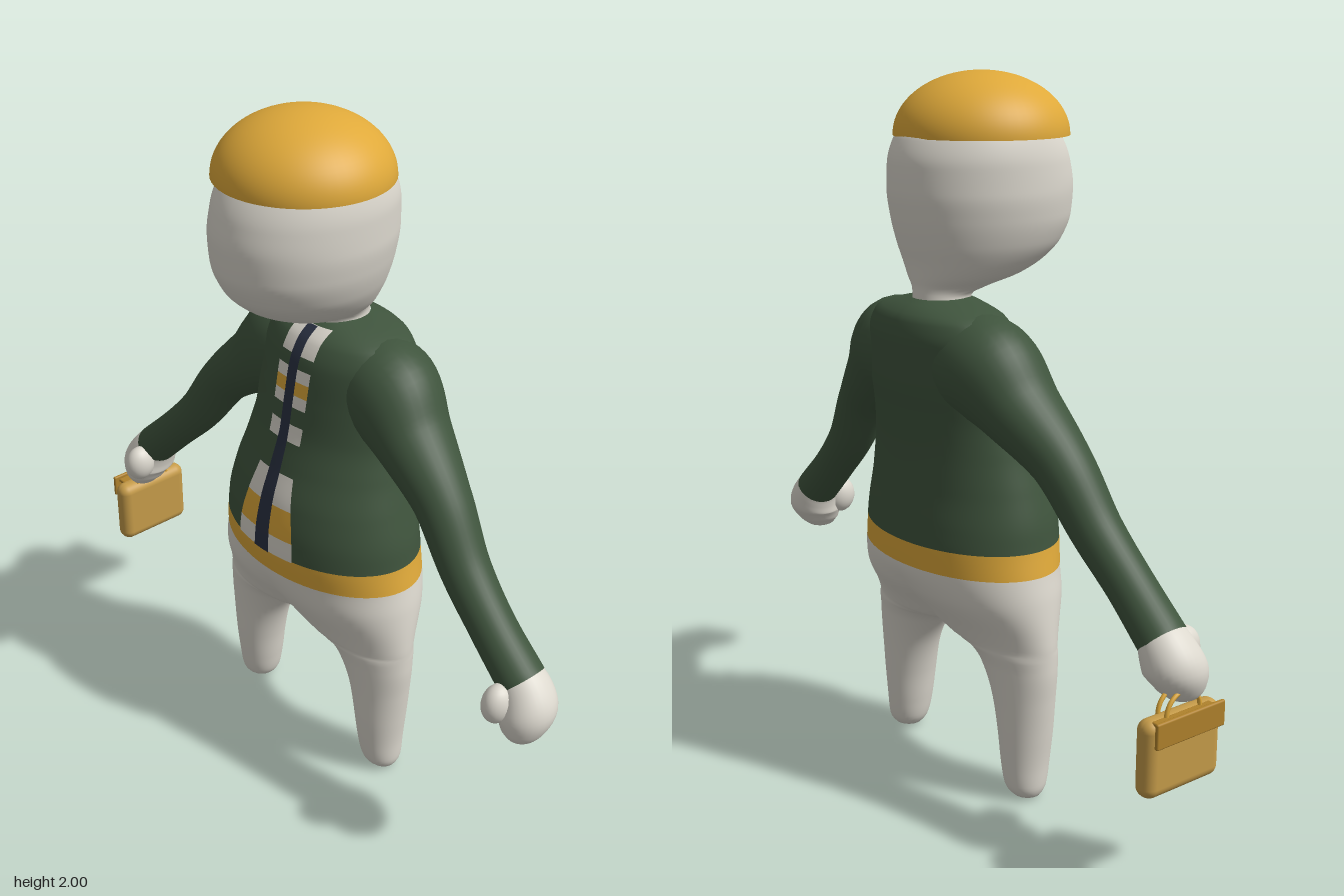
import * as THREE from 'three';
import { mergeGeometries, mergeVertices } from 'three/addons/utils/BufferGeometryUtils.js';
import { RoundedBoxGeometry } from 'three/addons/geometries/RoundedBoxGeometry.js';

const material = (name, color) => {
  const m = new THREE.MeshStandardMaterial({ color });
  m.name = name;
  return m;
};

// Sections by height: [y, outer half width, front z, back z, inner x of the leg]
const BODY = [
  [0, 0.295, -0.036, -0.04, 0.29],
  [0.008, 0.332, -0.005, -0.08, 0.25],
  [0.04, 0.345, 0.018, -0.102, 0.227],
  [0.1, 0.348, 0.03, -0.11, 0.215],
  [0.2, 0.358, 0.04, -0.117, 0.2],
  [0.3, 0.368, 0.045, -0.123, 0.175],
  [0.4, 0.376, 0.055, -0.133, 0.115],
  [0.44, 0.376, 0.065, -0.145, 0.055],
  [0.45, 0.376, 0.07, -0.15, 0],
  [0.46, 0.376, 0.075, -0.155, -0.05],
  [0.5, 0.374, 0.095, -0.18, -0.13],
  [0.6, 0.364, 0.148, -0.25, -0.25],
  [0.675, 0.35, 0.17, -0.277, -0.35],
  [0.745, 0.337, 0.177, -0.28, -0.337],
  [0.8, 0.33, 0.174, -0.276, -0.33],
  [0.9, 0.305, 0.155, -0.266, -0.305],
  [1.0, 0.278, 0.12, -0.264, -0.278],
  [1.1, 0.262, 0.088, -0.27, -0.262],
  [1.2, 0.262, 0.07, -0.28, -0.262],
  [1.3, 0.26, 0.05, -0.28, -0.26],
  [1.36, 0.23, 0.02, -0.266, -0.23],
  [1.39, 0.15, -0.015, -0.235, -0.15],
  [1.405, 0.075, -0.04, -0.2, -0.075],
];
const HEAD = [
  [1.36, 0.08, -0.03, -0.2],
  [1.41, 0.072, -0.03, -0.2],
  [1.43, 0.085, 0.03, -0.2],
  [1.46, 0.13, 0.13, -0.205],
  [1.5, 0.168, 0.205, -0.213],
  [1.55, 0.198, 0.255, -0.227],
  [1.62, 0.22, 0.282, -0.242],
  [1.69, 0.229, 0.285, -0.25],
  [1.76, 0.228, 0.272, -0.247],
  [1.83, 0.216, 0.238, -0.222],
  [1.88, 0.18, 0.18, -0.16],
  [1.93, 0.02, 0.03, 0.0],
].map((r) => [...r, -r[1]]);

// Monotone smooth interpolation of one table row at height y
function sectionAt(table, y) {
  let i = 0;
  while (i < table.length - 2 && y > table[i + 1][0]) i++;
  const h = table[i + 1][0] - table[i][0];
  const t = (y - table[i][0]) / h;
  const slope = (j, k) => (j < 0 || j > table.length - 2 ? 0 : (table[j + 1][k] - table[j][k]) / (table[j + 1][0] - table[j][0]));
  const tangent = (j, k) => {
    if (j === 0) return slope(0, k);
    if (j === table.length - 1) return slope(j - 1, k);
    const a = slope(j - 1, k), b = slope(j, k);
    return a * b > 0 ? (2 * a * b) / (a + b) : 0;
  };
  const at = (k) => {
    const p = table[i][k], q = table[i + 1][k];
    return p + (q - p) * t * t * (3 - 2 * t) + h * t * (1 - t) * ((1 - t) * tangent(i, k) - t * tangent(i + 1, k));
  };
  const [w, f, b, inner] = [1, 2, 3, 4].map(at);
  return { cx: (w + inner) / 2, rx: (w - inner) / 2, cz: (f + b) / 2, rz: (f - b) / 2 };
}

// Surface grid from point(u, v) with u and v in 0..1
function grid(nu, nv, point, flip) {
  const pos = [], idx = [];
  for (let j = 0; j <= nv; j++) for (let i = 0; i <= nu; i++) pos.push(...point(i / nu, j / nv));
  for (let j = 0; j < nv; j++) {
    for (let i = 0; i < nu; i++) {
      const a = j * (nu + 1) + i, b = a + 1, c = a + nu + 1, d = c + 1;
      idx.push(...(flip ? [a, b, c, b, d, c] : [a, c, b, b, c, d]));
    }
  }
  const g = new THREE.BufferGeometry();
  g.setAttribute('position', new THREE.Float32BufferAttribute(pos, 3));
  g.setIndex(idx);
  return g;
}

function smooth(g) {
  const m = mergeVertices(g, 1e-4);
  m.computeVertexNormals();
  return m;
}

// Two mirrored halves, cut at x = 0, so the hips part smoothly into two legs
function slice(table, y0, y1, rows) {
  const half = (s) => grid(36, rows, (u, v) => {
    const y = y0 + (y1 - y0) * v;
    const { cx, rx, cz, rz } = sectionAt(table, y);
    const reach = Math.acos(THREE.MathUtils.clamp(-cx / Math.max(rx, 1e-6), -1, 1));
    const a = (2 * u - 1) * reach;
    return [s * Math.max(0, cx + rx * Math.cos(a)), y, cz + rz * Math.sin(a)];
  }, s < 0);
  return smooth(mergeGeometries([half(1), half(-1)]));
}

// Limb through rings [x, y, z, radius, depth radius]
function limb(rings, s, steps) {
  const path = new THREE.CatmullRomCurve3(rings.map((r) => new THREE.Vector3(r[0], r[1], r[2])));
  const size = new THREE.CatmullRomCurve3(rings.map((r) => new THREE.Vector3(r[3], r[4], 0)));
  return smooth(grid(32, steps, (u, v) => {
    const c = path.getPoint(v), t = path.getTangent(v), r = size.getPoint(v);
    const l = Math.hypot(t.x, t.y), a = u * Math.PI * 2;
    const k = r.x * Math.cos(a);
    return [s * (c.x - (t.y / l) * k), c.y + (t.x / l) * k, c.z + r.y * Math.sin(a)];
  }, s > 0));
}

// Thin panel lying on the chest between two edges given as x at height y
function chestPanel(y0, y1, left, right, lift) {
  const rows = Math.ceil((y1 - y0) / 0.008);
  return smooth(grid(10, rows, (u, v) => {
    const y = y0 + (y1 - y0) * v;
    const { rx, cz, rz } = sectionAt(BODY, y);
    const x = left(y) + (right(y) - left(y)) * u;
    return [x, y, cz + rz * Math.sqrt(Math.max(0, 1 - (x / rx) ** 2)) + lift];
  }, true));
}

const SLEEVE = [
  [0.08, 1.25, -0.12, 0.12, 0.13],
  [0.2, 1.23, -0.115, 0.147, 0.138],
  [0.32, 1.14, -0.095, 0.104, 0.115],
  [0.455, 1.025, -0.07, 0.077, 0.085],
  [0.57, 0.872, -0.05, 0.067, 0.072],
  [0.69, 0.752, -0.038, 0.062, 0.067],
  [0.805, 0.645, -0.035, 0.064, 0.07],
];
const HAND = [
  [0.77, 0.68, -0.035, 0.05, 0.055],
  [0.815, 0.63, -0.034, 0.068, 0.076],
  [0.84, 0.58, -0.025, 0.078, 0.085],
  [0.846, 0.53, -0.01, 0.06, 0.066],
  [0.846, 0.503, -0.002, 0.036, 0.04],
  [0.846, 0.49, 0, 0.002, 0.002],
];

export function createModel() {
  const model = new THREE.Group();
  const white = material('offWhite', 0xdcd8ce);
  const green = material('darkGreen', 0x3f543d);
  const gold = material('gold', 0xdfa93a);
  const navy = material('navy', 0x2a3142);
  const tan = material('bagTan', 0xc69c4a);
  const brown = material('bagBrown', 0xb0822c);
  const add = (name, geometry, mat, parent = model) => {
    const mesh = new THREE.Mesh(geometry, mat);
    mesh.name = name;
    parent.add(mesh);
    return mesh;
  };

  // Body from the feet up
  add('trousers', slice(BODY, 0, 0.675, 72), white);
  add('belt', slice(BODY, 0.675, 0.745, 8), gold);
  add('jacket', slice(BODY, 0.745, 1.405, 66), green);
  add('head', slice(HEAD, 1.36, 1.93, 60), white);

  // Domed cap with a flat underside
  const dome = [new THREE.Vector2(0, 0)];
  const cap = add('cap', new THREE.SphereGeometry(1, 56, 20, 0, Math.PI * 2, 0, Math.PI / 2), gold);
  cap.scale.set(0.24, 0.17, 0.24);
  cap.position.set(0, 1.83, 0.02);
  const underside = add('capUnderside', new THREE.CircleGeometry(0.24, 56), gold);
  underside.rotation.x = Math.PI / 2;
  underside.position.set(dome[0].x, 1.83, 0.02);

  // Arms and hands
  for (const [side, s] of [['left', 1], ['right', -1]]) {
    add(side + 'Sleeve', limb(SLEEVE, s, 50), green);
    add(side + 'Hand', limb(HAND, s, 28), white);
    const thumb = add(side + 'Thumb', new THREE.SphereGeometry(1, 24, 16), white);
    thumb.scale.set(0.04, 0.058, 0.05);
    thumb.position.set(s * 0.795, 0.605, 0.044);
  }

  // Striped shirt front with a dark centre band
  const edge = (y) => 0.064 + 0.05 * THREE.MathUtils.smoothstep(1.06 - y, 0, 0.31);
  const stripes = [
    [1.32, 1.393, white], [1.25, 1.285, white], [1.21, 1.25, gold], [1.175, 1.21, white],
    [1.075, 1.125, white], [0.895, 0.985, white], [0.805, 0.895, gold], [0.745, 0.805, white],
  ];
  for (const [y0, y1, mat] of stripes) add('shirtStripe', chestPanel(y0, y1, (y) => -edge(y), edge, 0.004), mat);
  const band = (y) => 0.018 + 0.012 * THREE.MathUtils.clamp((1.1 - y) / 0.35, 0, 1);
  add('centreBand', chestPanel(0.745, 1.393, (y) => -band(y), band, 0.007), navy);

  // Small bag hanging from the right hand
  const bag = new THREE.Group();
  bag.name = 'bag';
  bag.position.set(-0.872, 0.385, -0.04);
  model.add(bag);
  add('bagBody', new RoundedBoxGeometry(0.064, 0.21, 0.255, 5, 0.03), tan, bag);
  add('bagFlap', new RoundedBoxGeometry(0.012, 0.07, 0.235, 3, 0.005), brown, bag).position.set(-0.046, 0.08, -0.005);
  add('flapHinge', new RoundedBoxGeometry(0.04, 0.012, 0.2, 3, 0.005), brown, bag).position.set(-0.03, 0.098, -0.005);
  for (const x of [-0.015, 0.015]) {
    const handle = add('bagHandle', new THREE.TorusGeometry(0.058, 0.006, 8, 24, Math.PI), gold, bag);
    handle.rotation.y = Math.PI / 2;
    handle.position.set(x, 0.1, 0);
  }
  return model;
}
